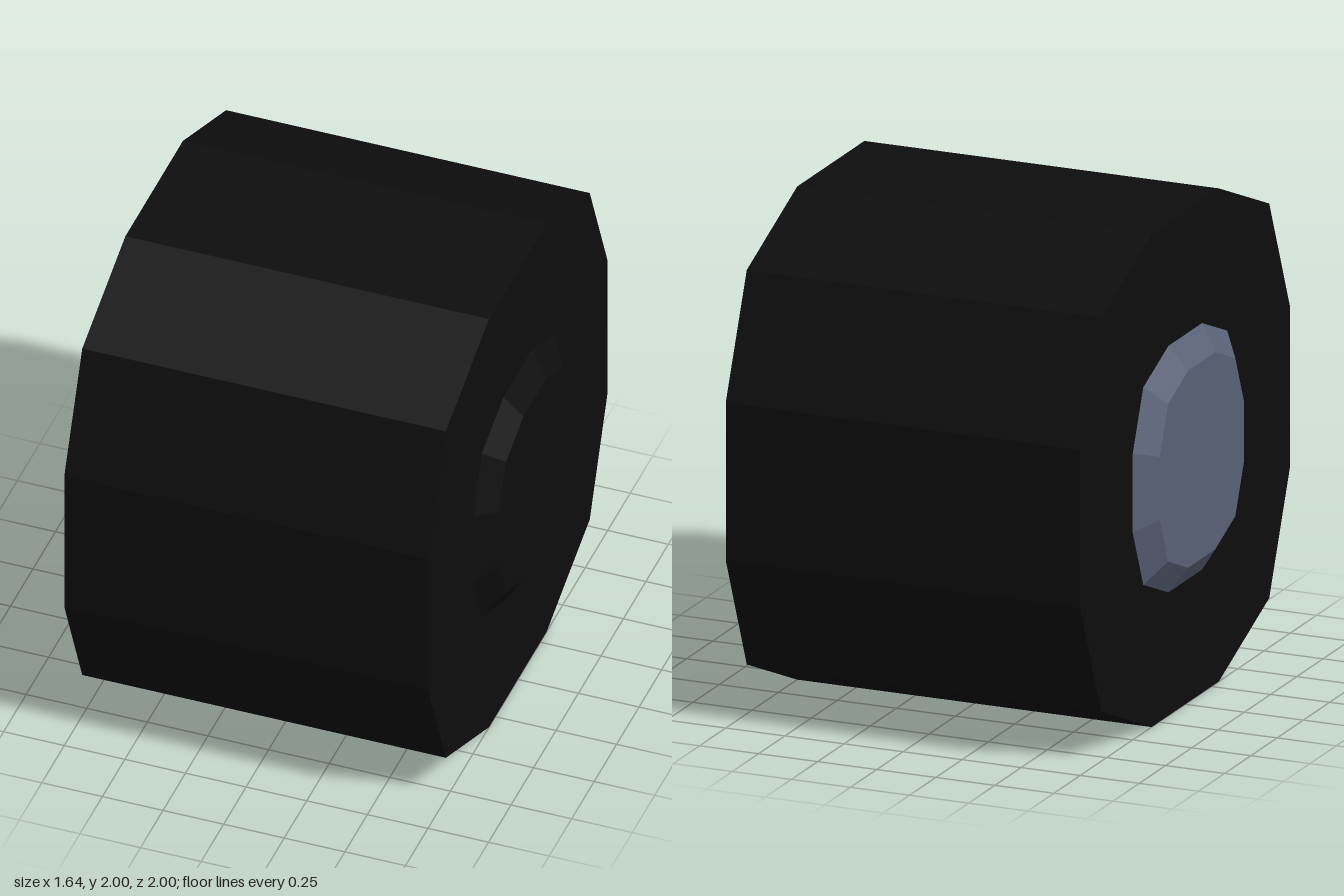
import * as THREE from 'three';

// Twelve-sided outline: one quarter's corners, turned four times
function outline(radius) {
  const points = [];
  for (let q = 0; q < 4; q++) {
    for (const [x, y] of [[1, 0.32], [0.8, 0.8], [0.32, 1]]) {
      points.push(new THREE.Vector2(x * radius, y * radius).rotateAround(new THREE.Vector2(), q * Math.PI / 2));
    }
  }
  return new THREE.Shape(points);
}

// Prism along +z, its far end scaled by taper
function prism(radius, depth, taper = 1) {
  const geometry = new THREE.ExtrudeGeometry(outline(radius), { depth, bevelEnabled: false });
  const p = geometry.attributes.position;
  for (let i = 0; i < p.count; i++) {
    if (p.getZ(i) > depth / 2) p.setXY(i, p.getX(i) * taper, p.getY(i) * taper);
  }
  geometry.computeVertexNormals();
  return geometry;
}

export function createModel() {
  const rubber = new THREE.MeshStandardMaterial({ color: 0x0d0d0d });
  rubber.name = 'black rubber';
  rubber.flatShading = true;
  const metal = new THREE.MeshStandardMaterial({ color: 0x596177 });
  metal.name = 'blue grey metal';
  metal.flatShading = true;

  const wheel = new THREE.Group();
  wheel.name = 'wheel';

  // Wide tyre lying along x
  const tyre = new THREE.Mesh(prism(1, 1.5).translate(0, 0, -0.75).rotateY(Math.PI / 2), rubber);
  tyre.name = 'tyre';
  tyre.position.y = 1;
  wheel.add(tyre);

  // Bevelled hub on each side: dark inside, metal outside
  for (const [name, side, material] of [['innerHub', 1, rubber], ['outerHub', -1, metal]]) {
    const hub = new THREE.Mesh(prism(0.5, 0.07, 0.8).rotateY(side * Math.PI / 2), material);
    hub.name = name;
    hub.position.set(side * 0.75, 1, 0);
    wheel.add(hub);
  }
  return wheel;
}
